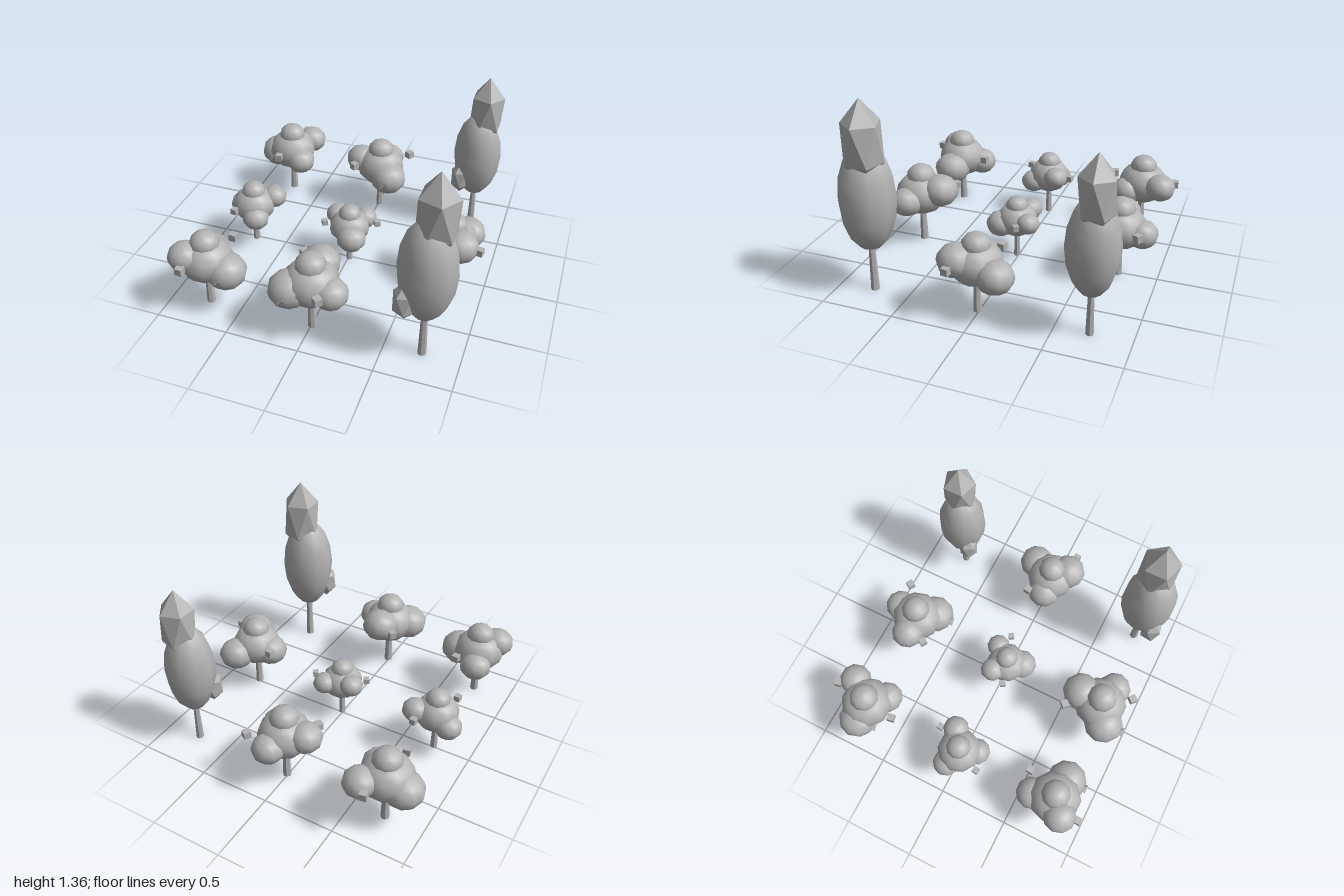
import * as THREE from 'three';

const grey = new THREE.MeshStandardMaterial({ color: 0xb3b3b3 });
grey.name = 'plain grey';

// Built-in shapes with one normal per face where the look is faceted
const ball = new THREE.SphereGeometry(1, 10, 8);
const trunkShape = new THREE.CylinderGeometry(0.021, 0.03, 1, 7).toNonIndexed();
trunkShape.computeVertexNormals();
const cube = new THREE.BoxGeometry(0.05, 0.05, 0.05);
const shard = new THREE.TetrahedronGeometry(0.045);
// Icosahedron standing on a vertex, with an upper ring corner towards +x
const crystal = new THREE.IcosahedronGeometry(1)
  .rotateX(-Math.atan((1 + Math.sqrt(5)) / 2)).rotateY(Math.PI / 2);

function add(group, name, geometry, x, y, z, width = 1, height = width, yaw = 0) {
  const mesh = new THREE.Mesh(geometry, grey);
  mesh.name = name;
  mesh.position.set(x, y, z);
  mesh.scale.set(width, height, width);
  mesh.rotation.y = yaw;
  group.add(mesh);
}

// An empty tree standing on its place in the three by three grid
function startTree(name, col, row, s, trunkHeight) {
  const tree = new THREE.Group();
  tree.name = name;
  tree.position.set(col * 0.74 + 0.008, 0, row * 0.74 + 0.013);
  add(tree, 'trunk', trunkShape, 0, trunkHeight * s / 2, 0, s, trunkHeight * s);
  return tree;
}

// Broad tree: each lobe is [x, y, z, radius]; the first one carries the shard
function roundTree(col, row, s, cubeAngle, ...lobes) {
  const tree = startTree('roundTree', col, row, s, 0.3);
  add(tree, 'crown', ball, 0, 0.375 * s, 0, 0.185 * s, 0.155 * s);
  add(tree, 'crownTop', ball, 0, 0.505 * s, 0, 0.102 * s, 0.09 * s);
  for (const [x, y, z, r] of lobes) add(tree, 'crownLobe', ball, x, y, z, r, r * 0.87);
  const [x, y, z, r] = lobes[0];
  add(tree, 'leafShard', shard, x, y, z + r * 0.9, s);

  // Two cubes float on opposite sides of the crown
  const a = THREE.MathUtils.degToRad(cubeAngle);
  for (const d of [0.25 * s, -0.225 * s]) {
    add(tree, 'leafCube', cube, d * Math.cos(a), 0.41 * s, d * Math.sin(a), s, s, 0.3 - a);
  }
  return tree;
}

// Tall tree: oval body, faceted tip and a small faceted tuft at the side
function tallTree(col, row, s) {
  const tree = startTree('tallTree', col, row, s, 0.36);
  add(tree, 'body', ball, 0, 0.68 * s, 0, 0.19 * s, 0.37 * s);
  add(tree, 'tip', crystal, 0.035, 1.07 * s, -0.02, 0.145 * s, 0.29 * s);
  add(tree, 'sideTuft', crystal, -0.105 * s, 0.49 * s, 0.1 * s, 0.083 * s, 0.14 * s, 0.5);
  return tree;
}

export function createModel() {
  const model = new THREE.Group();
  model.name = 'grove';
  model.add(
    // Back row
    roundTree(-1, -1, 0.98, -83, [-0.123, 0.32, -0.01, 0.135], [0.107, 0.39, -0.148, 0.113], [0.107, 0.33, 0.102, 0.11]),
    roundTree(0, -1, 0.98, -40, [0.092, 0.32, 0.1, 0.135], [0.027, 0.35, -0.153, 0.112], [-0.153, 0.4, 0.007, 0.115]),
    tallTree(1, -1, 0.9),
    // Middle row
    roundTree(-1, 0, 0.84, -66, [-0.108, 0.265, -0.048, 0.097], [0.122, 0.35, -0.088, 0.091], [0.057, 0.27, 0.107, 0.096]),
    roundTree(0, 0, 0.78, -17, [-0.108, 0.33, -0.063, 0.085], [0.082, 0.31, -0.108, 0.083], [0.047, 0.262, 0.102, 0.105]),
    roundTree(1, 0, 0.95, 28, [0.077, 0.325, -0.153, 0.126], [-0.123, 0.335, 0.002, 0.12], [0.077, 0.395, 0.102, 0.127]),
    // Front row
    roundTree(-1, 1, 0.98, -69, [0.152, 0.32, 0.022, 0.138], [-0.038, 0.33, -0.153, 0.113], [-0.108, 0.42, 0.082, 0.115]),
    roundTree(0, 1, 1.01, -121, [-0.118, 0.355, 0.082, 0.14], [0.007, 0.42, -0.153, 0.132], [0.147, 0.36, 0.047, 0.118]),
    tallTree(1, 1, 1),
  );
  return model;
}
